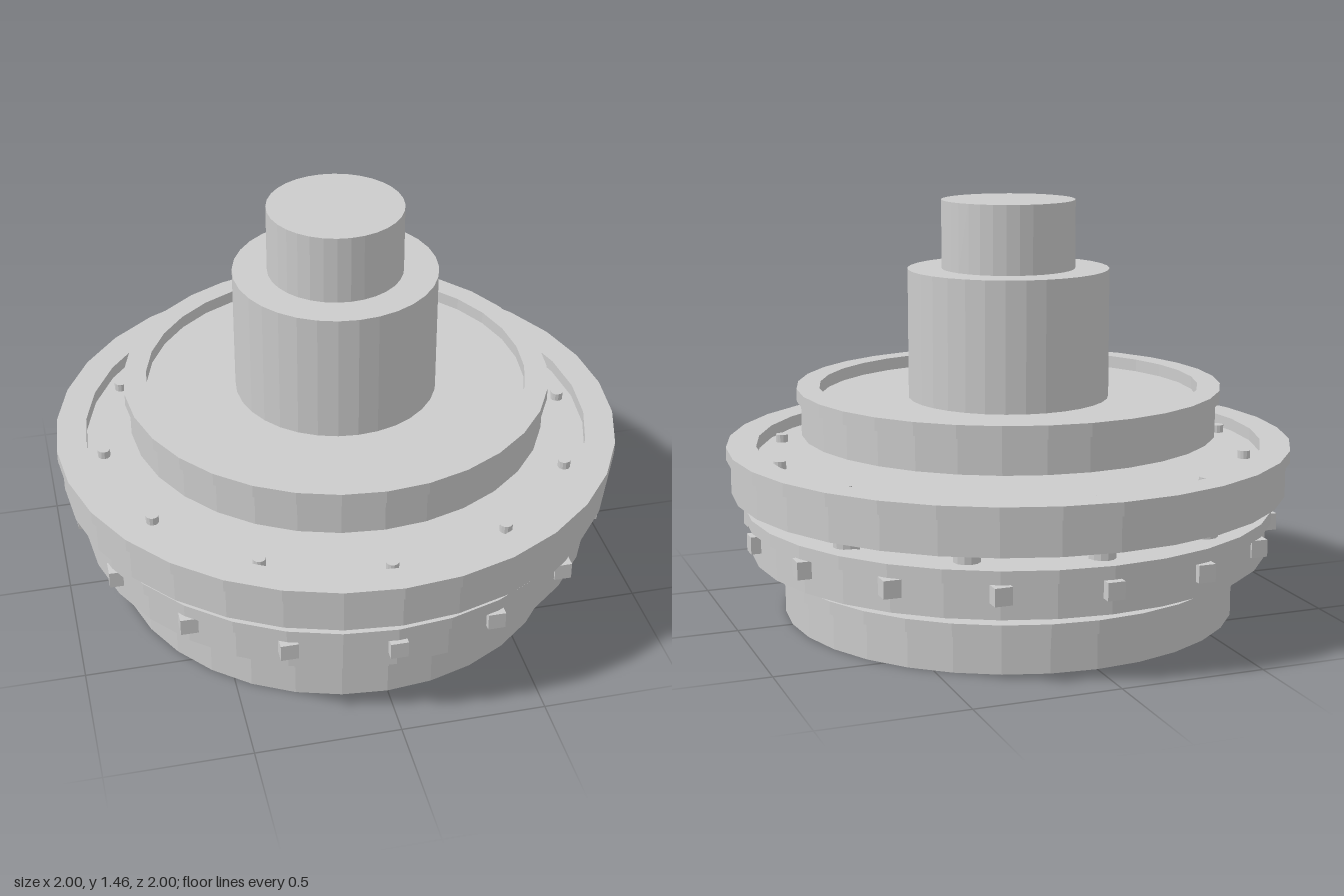
import * as THREE from 'three';

const SIDES = 32;

export function createModel() {
  const model = new THREE.Group();
  model.name = 'tieredFountain';
  const stone = new THREE.MeshStandardMaterial({ color: 0xcccccc, flatShading: true });
  stone.name = 'light grey';

  const add = (name, geometry, x, y, z, parent = model) => {
    const mesh = new THREE.Mesh(geometry, stone);
    mesh.name = name;
    mesh.position.set(x, y, z);
    parent.add(mesh);
    return mesh;
  };
  const cylinder = (name, r, y0, y1, x = 0, z = 0, sides = SIDES, parent = model) =>
    add(name, new THREE.CylinderGeometry(r, r, y1 - y0, sides), x, (y0 + y1) / 2, z, parent);

  // Shallow dish: a solid disc with a slightly wider raised rim
  const basin = (name, r, rimR, innerR, y0, floorY, topY) => {
    const profile = [
      [0, y0], [r, y0], [r, floorY], [rimR, floorY],
      [rimR, topY], [innerR, topY], [innerR, floorY], [0, floorY],
    ].map(([x, y]) => new THREE.Vector2(x, y));
    add(name, new THREE.LatheGeometry(profile, SIDES), 0, 0, 0);
  };
  basin('baseBasin', 0.805, 0.82, 0.735, 0, 0.125, 0.17);
  basin('lowerBasin', 0.92, 0.94, 0.845, 0.22, 0.34, 0.385);
  basin('wideBasin', 0.985, 1.0, 0.895, 0.44, 0.56, 0.605);
  basin('upperBasin', 0.735, 0.75, 0.67, 0.64, 0.76, 0.805);

  // Stepped central column
  cylinder('column', 0.355, 0.76, 1.215);
  cylinder('columnCap', 0.235, 1.215, 1.455);

  // Short posts under the wide basin, each ending in a thin nozzle above its floor
  const posts = new THREE.Group();
  posts.name = 'posts';
  model.add(posts);
  for (let i = 0; i < 12; i++) {
    const a = (i / 12) * Math.PI * 2;
    const x = 0.837 * Math.sin(a), z = 0.837 * Math.cos(a);
    cylinder('post', 0.045, 0.34, 0.45, x, z, 12, posts);
    cylinder('nozzle', 0.022, 0.45, 0.588, x, z, 12, posts);
  }

  // Square studs around the lower basin, all facing the same way
  const studs = new THREE.Group();
  studs.name = 'studs';
  model.add(studs);
  const studShape = new THREE.BoxGeometry(0.06, 0.06, 0.06);
  for (let i = 0; i < 16; i++) {
    const a = (i / 16) * Math.PI * 2;
    add('stud', studShape, 0.922 * Math.sin(a), 0.305, 0.922 * Math.cos(a), studs);
  }
  return model;
}
